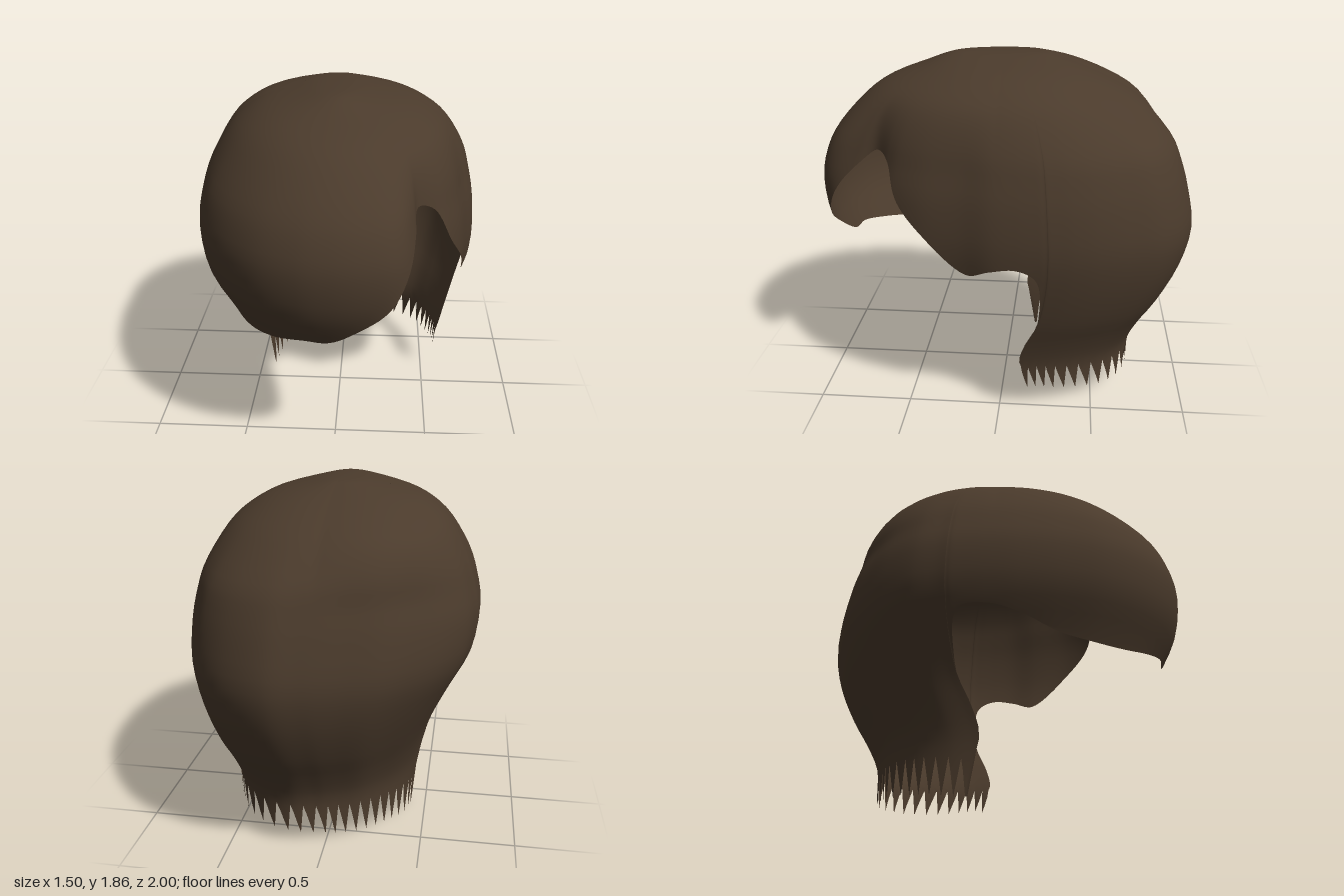
import * as THREE from 'three';

// Levels from crown to nape: y, least x, greatest x, back z, front z, centre z
const LEVELS = [
  [1.86, 0, 0, 0, 0, 0],
  [1.857, -0.1, 0.07, -0.17, 0.22, 0],
  [1.84, -0.2, 0.17, -0.25, 0.32, 0],
  [1.79, -0.38, 0.36, -0.4, 0.45, 0],
  [1.72, -0.5, 0.49, -0.56, 0.63, 0],
  [1.63, -0.59, 0.585, -0.71, 0.76, 0],
  [1.48, -0.68, 0.67, -0.86, 0.9, 0],
  [1.35, -0.725, 0.71, -0.92, 0.97, 0],
  [1.2, -0.75, 0.74, -0.965, 1, 0],
  [1.0, -0.72, 0.75, -1, 0.97, 0],
  [0.8, -0.62, 0.72, -0.96, 0.87, 0],
  [0.6, -0.53, 0.67, -0.87, 0.77, 0.02],
  [0.45, -0.49, 0.62, -0.78, 0.7, 0.08],
  [0.3, -0.46, 0.58, -0.71, 0.7, 0.12],
  [0.15, -0.44, 0.57, -0.7, 0.7, 0.1],
  [0, -0.43, 0.56, -0.69, 0.7, 0.07],
];

// Widest outline seen from above, with the height of the cut edge: x, z, edge y
const FRINGE = [
  [0, 1, 0.82], [0.15, 0.99, 0.92], [0.28, 0.95, 1.03], [0.36, 0.88, 1.17],
  [0.41, 0.76, 1.33], [0.43, 0.66, 1.42],
];
const LEFT_SIDE = [
  [0.52, 0.58, 1.38], [0.585, 0.5, 1.2], [0.64, 0.38, 1.06], [0.69, 0.17, 0.87],
  [0.73, 0.03, 0.91], [0.745, -0.1, 0.93], [0.75, -0.2, 0.88], [0.75, -0.25, 0.65],
];
const NAPE = [
  [0.75, -0.29, 0.3], [0.74, -0.39, 0.3], [0.715, -0.51, 0.29], [0.66, -0.66, 0.28],
  [0.57, -0.82, 0.27], [0.42, -0.94, 0.26], [0.22, -1, 0.26], [0.05, -0.97, 0.25],
  [-0.12, -0.92, 0.24], [-0.3, -0.85, 0.24], [-0.46, -0.73, 0.23], [-0.59, -0.6, 0.22],
  [-0.69, -0.44, 0.2], [-0.73, -0.29, 0.2],
];
const RIGHT_SIDE = [
  [-0.738, -0.25, 0.65], [-0.744, -0.2, 0.88], [-0.75, -0.06, 0.9], [-0.745, 0.12, 0.86],
  [-0.71, 0.35, 0.78], [-0.645, 0.56, 0.75], [-0.52, 0.75, 0.75], [-0.345, 0.9, 0.78],
  [-0.15, 0.98, 0.815],
];

// Smooth value of one level column at fractional level t
function level(t, k) {
  const last = LEVELS.length - 1;
  const i = Math.min(Math.floor(t), last - 1);
  const f = t - i;
  const at = (n) => LEVELS[THREE.MathUtils.clamp(n, 0, last)][k];
  const [a, b, c, d] = [at(i - 1), at(i), at(i + 1), at(i + 2)];
  return b + 0.5 * f * (c - a + f * (2 * a - 5 * b + 4 * c - d + f * (3 * (b - c) + d - a)));
}

// Fractional level whose height is y
function levelAt(y) {
  let lo = 0, hi = LEVELS.length - 1;
  for (let n = 0; n < 30; n++) {
    const mid = (lo + hi) / 2;
    if (level(mid, 0) > y) lo = mid; else hi = mid;
  }
  return (lo + hi) / 2;
}

// Point of the hair shell for an outline position and level
function shellPoint(o, t) {
  const y = level(t, 0);
  let sx = o.x / 0.75, sz = o.z;
  // toward the crown the creased outline rounds out, a little fuller at the back corners
  const r = Math.hypot(sx, sz);
  const corner = sz < 0 ? Math.abs(sx * sz) / (r * r) : 0;
  const full = 1 + corner * (sx < 0 ? 0.18 : 0.1);
  const fill = THREE.MathUtils.lerp(1, full / r, THREE.MathUtils.smoothstep(y, 1.36, 1.72));
  sx *= fill;
  sz *= fill;
  const cz = level(t, 5);
  const x = sx < 0 ? -sx * level(t, 1) : sx * level(t, 2);
  const z = sz < 0 ? cz - sz * (level(t, 3) - cz) : cz + sz * (level(t, 4) - cz);
  return [x, y, z];
}

function hairGeometry() {
  const outline = [...FRINGE, ...LEFT_SIDE, ...NAPE, ...RIGHT_SIDE];
  const curve = new THREE.CatmullRomCurve3(
    outline.map(([x, z, y]) => new THREE.Vector3(x, y, z)), true);
  const STEP = 8, ROWS = 45;
  const cols = outline.length * STEP;
  const napeStart = (FRINGE.length + LEFT_SIDE.length) * STEP;
  const napeEnd = napeStart + (NAPE.length - 1) * STEP;
  const saw = [0, 0.3, 0.65, 1];
  const pos = [], index = [], rows = [];
  for (let i = 0; i < cols; i++) {
    const o = curve.getPoint(i / cols);
    // slanted pointed locks along the nape
    let edgeY = o.y;
    if (i >= napeStart && i <= napeEnd) {
      const s = (i - napeStart) / (napeEnd - napeStart);
      const phase = i === napeEnd ? 1 : saw[(i - napeStart) % saw.length];
      edgeY -= phase * (0.13 + 0.07 * s);
    }
    const edge = levelAt(Math.max(edgeY, 0));
    // all columns share the same rows, stopped at the cut edge
    rows.push([]);
    for (let j = 0; j <= ROWS; j++) {
      const t = Math.min(edge, (j / ROWS) * (LEVELS.length - 1));
      rows[i].push(t);
      pos.push(...shellPoint(o, t));
    }
  }
  const n = ROWS + 1;
  for (let i = 0; i < cols; i++) {
    const k = (i + 1) % cols;
    for (let j = 0; j < ROWS; j++) {
      const a = i * n + j, c = k * n + j;
      if (j > 0 && rows[i][j] < rows[i][j + 1]) index.push(a, a + 1, c);
      if (rows[k][j] < rows[k][j + 1]) index.push(c, a + 1, c + 1);
    }
  }
  const geo = new THREE.BufferGeometry();
  geo.setAttribute('position', new THREE.Float32BufferAttribute(pos, 3));
  geo.setIndex(index);
  geo.computeVertexNormals();
  return geo;
}

export function createModel() {
  const group = new THREE.Group();
  group.name = 'hairpiece';
  const brown = new THREE.MeshStandardMaterial({ color: 0x4b3b2c, side: THREE.DoubleSide });
  brown.name = 'dark brown hair';
  const hair = new THREE.Mesh(hairGeometry(), brown);
  hair.name = 'hairShell';
  group.add(hair);
  return group;
}
